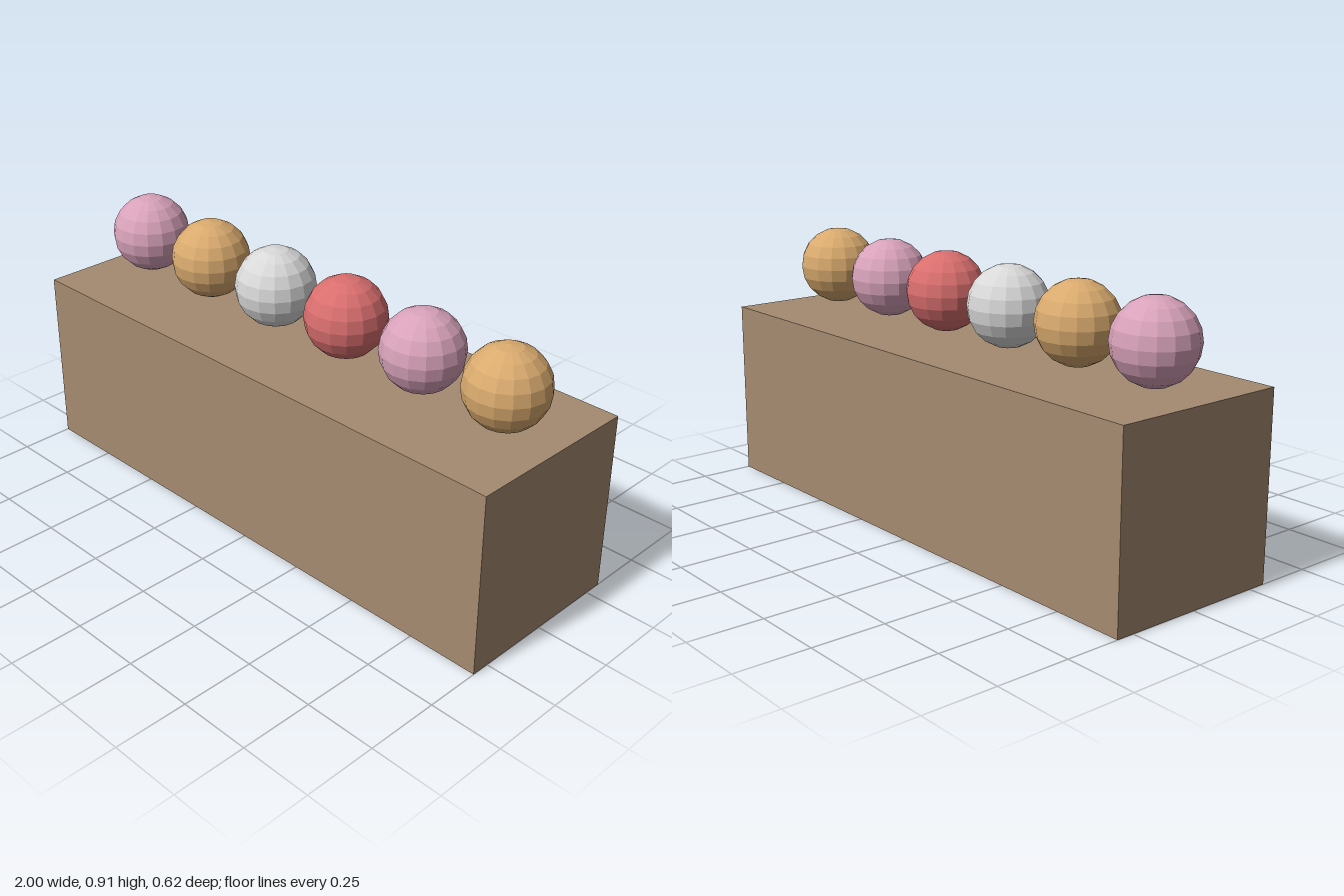
import * as THREE from 'three';

const flat = (name, color) => {
  const m = new THREE.MeshStandardMaterial({ color, flatShading: true });
  m.name = name;
  return m;
};

export function createModel() {
  const model = new THREE.Group();
  model.name = 'ballsOnBlock';

  const brown = flat('brown', 0xa58b71);
  const pink = flat('pink', 0xd8a2ba);
  const gold = flat('gold', 0xd9aa6e);
  const silver = flat('silver', 0xd8d8d8);
  const red = flat('red', 0xd96e6e);

  // Long block
  const block = new THREE.Mesh(new THREE.BoxGeometry(2, 0.625, 0.625), brown);
  block.name = 'block';
  block.position.y = 0.3125;
  model.add(block);

  // Row of balls hovering just above the block
  const ballGeometry = new THREE.SphereGeometry(0.1375, 16, 10);
  [pink, gold, silver, red, pink, gold].forEach((material, i) => {
    const ball = new THREE.Mesh(ballGeometry, material);
    ball.name = `ball${i + 1}`;
    ball.position.set((i - 2.5) * 0.325, 0.775, 0);
    model.add(ball);
  });

  return model;
}
